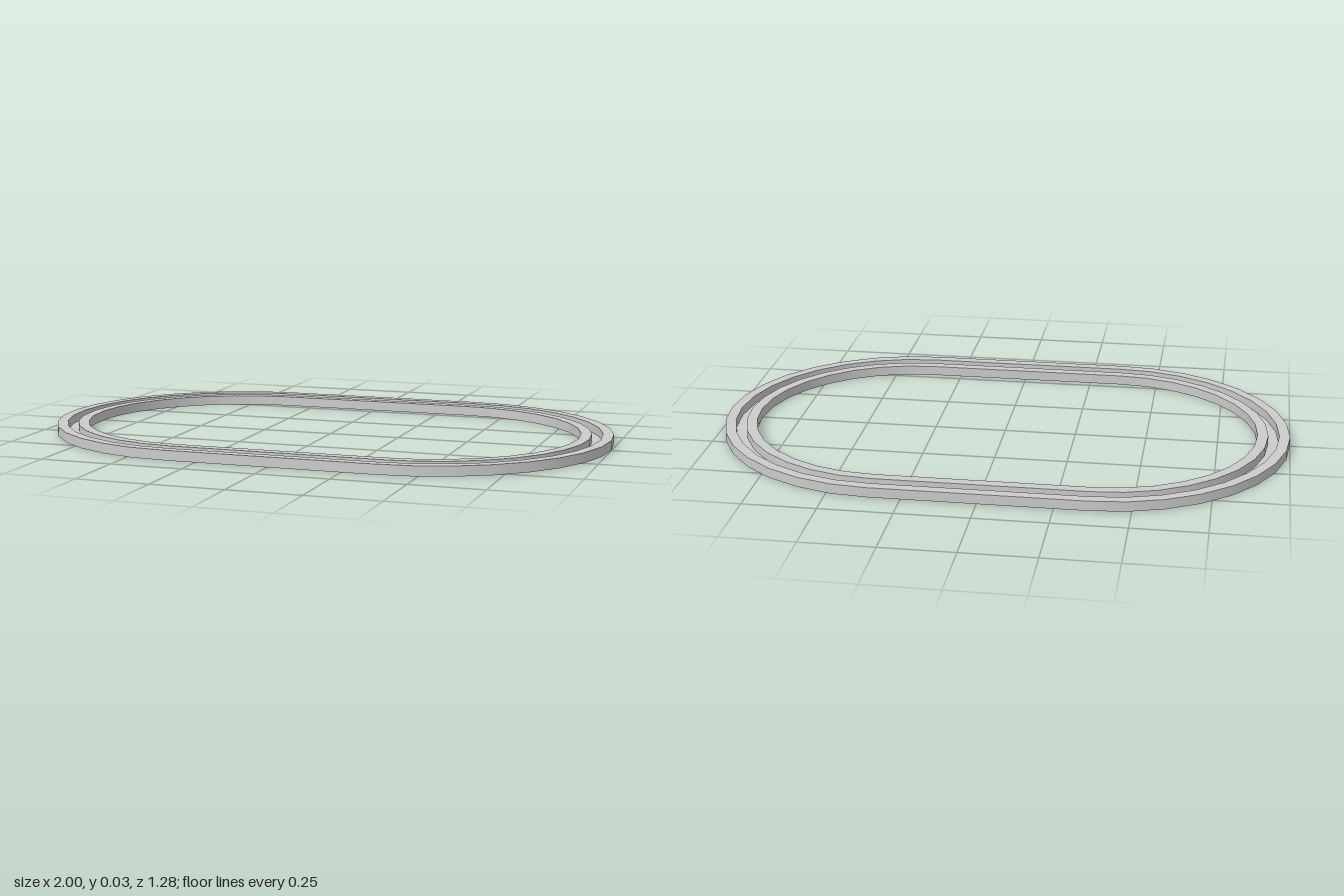
import * as THREE from 'three';

const STRAIGHT = 0.36;   // half length of the straight runs
const HEIGHT = 0.034;
const FLOOR = 0.004;     // height of the groove floor
const ARC_STEPS = 16;    // segments per end curve
const material = new THREE.MeshStandardMaterial({ color: 0xcccccc });

// Stations around the oval: curve centre and outward angle
function ovalStations() {
  const stations = [];
  for (const side of [1, -1]) {
    const start = side > 0 ? -Math.PI / 2 : Math.PI / 2;
    for (let i = 0; i <= ARC_STEPS; i++) {
      const a = start + (i / ARC_STEPS) * Math.PI;
      stations.push({ cx: side * STRAIGHT, cos: Math.cos(a), sin: Math.sin(a) });
    }
  }
  return stations;
}

// Sweeps a counter-clockwise run of [radius, height] points around the oval,
// smooth along the path and sharp across the profile
function sweepOval(name, profile) {
  const stations = ovalStations();
  const position = [], normal = [], index = [];
  for (let e = 0; e < profile.length - 1; e++) {
    const [r0, y0] = profile[e], [r1, y1] = profile[e + 1];
    const len = Math.hypot(r1 - r0, y1 - y0);
    const nr = (y1 - y0) / len, ny = (r0 - r1) / len;
    const base = position.length / 3;
    stations.forEach(({ cx, cos, sin }, i) => {
      for (const [r, y] of [[r0, y0], [r1, y1]]) {
        position.push(cx + r * cos, y, r * sin);
        normal.push(nr * cos, ny, nr * sin);
      }
      const a = base + 2 * i, b = base + 2 * ((i + 1) % stations.length);
      index.push(a, a + 1, b, a + 1, b + 1, b);
    });
  }
  const geometry = new THREE.BufferGeometry();
  geometry.setAttribute('position', new THREE.Float32BufferAttribute(position, 3));
  geometry.setAttribute('normal', new THREE.Float32BufferAttribute(normal, 3));
  geometry.setIndex(index);
  const mesh = new THREE.Mesh(geometry, material);
  mesh.name = name;
  return mesh;
}

export function createModel() {
  const group = new THREE.Group();
  group.name = 'ovalTrack';
  const [outer, grooveOuter, grooveInner, inner] = [0.64, 0.603, 0.565, 0.528];

  // Raised rails either side of the groove
  group.add(sweepOval('outerRail', [[outer, 0], [outer, HEIGHT], [grooveOuter, HEIGHT], [grooveOuter, FLOOR]]));
  group.add(sweepOval('innerRail', [[grooveInner, FLOOR], [grooveInner, HEIGHT], [inner, HEIGHT], [inner, 0]]));
  // Groove floor and flat underside
  group.add(sweepOval('grooveFloor', [[grooveOuter, FLOOR], [grooveInner, FLOOR]]));
  group.add(sweepOval('underside', [[inner, 0], [outer, 0]]));
  return group;
}
